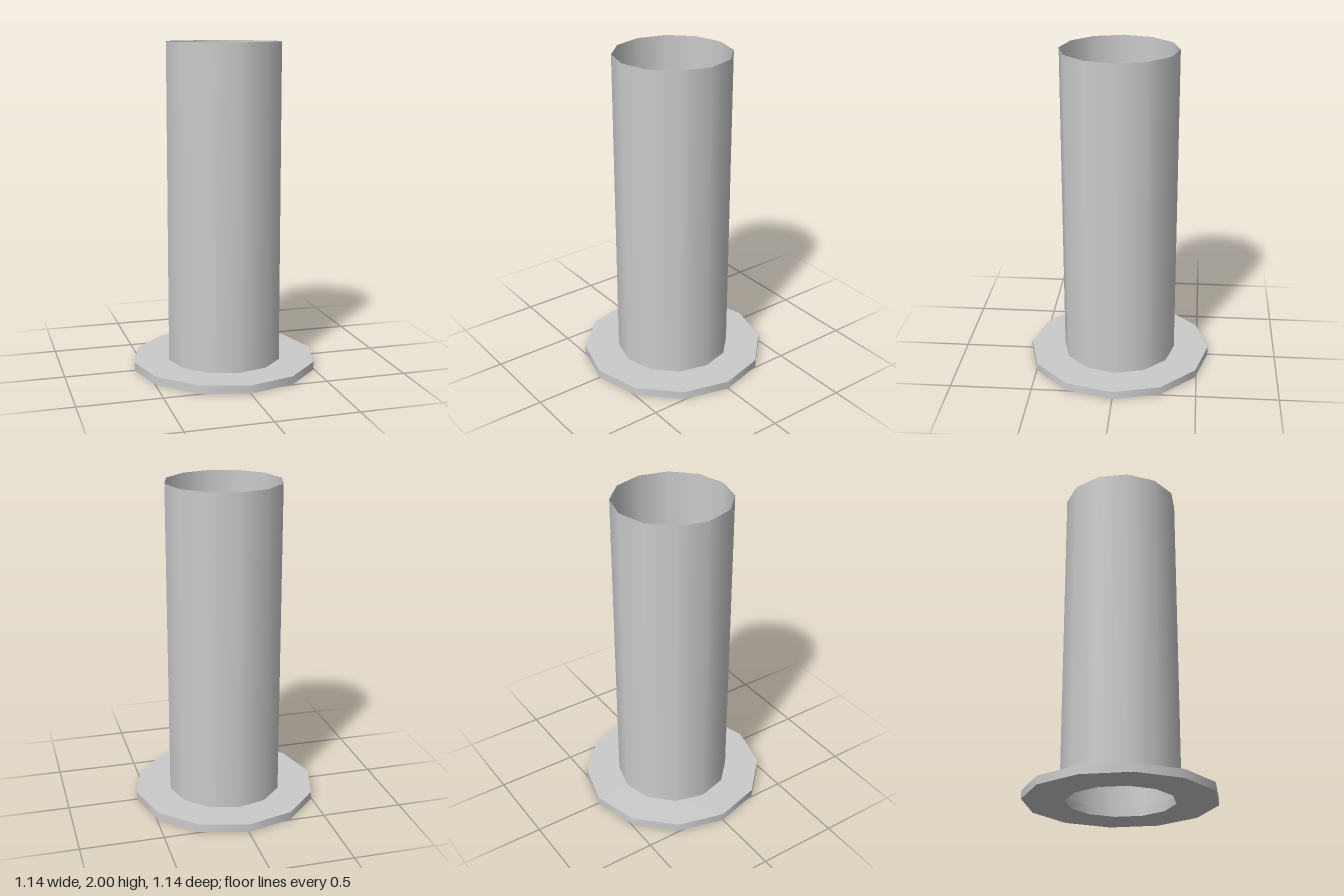
import * as THREE from 'three';
import { mergeGeometries } from 'three/addons/utils/BufferGeometryUtils.js';

const SIDES = 12;

// Revolves each straight profile segment on its own: smooth around, sharp at rims.
function revolve(profile) {
  const bands = [];
  for (let i = 0; i < profile.length - 1; i++) {
    const pair = [profile[i], profile[i + 1]].map(([r, y]) => new THREE.Vector2(r, y));
    bands.push(new THREE.LatheGeometry(pair, SIDES));
  }
  return mergeGeometries(bands);
}

export function createModel() {
  const group = new THREE.Group();
  group.name = 'flangedTube';
  const outer = 0.57, inner = 0.32, tubeRadius = 0.353, thickness = 0.05, height = 2;

  // Flat base ring with a hole slightly narrower than the tube
  const flange = new THREE.Mesh(
    revolve([[outer, 0], [outer, thickness], [inner, thickness], [inner, 0], [outer, 0]]),
    new THREE.MeshStandardMaterial({ color: 0xcccccc })
  );
  flange.name = 'baseFlange';
  group.add(flange);

  // Thin open tube standing on the ring
  const tube = new THREE.Mesh(
    revolve([[tubeRadius, thickness], [tubeRadius, height]]),
    new THREE.MeshStandardMaterial({ color: 0xcccccc, side: THREE.DoubleSide })
  );
  tube.name = 'tubeWall';
  group.add(tube);

  return group;
}
